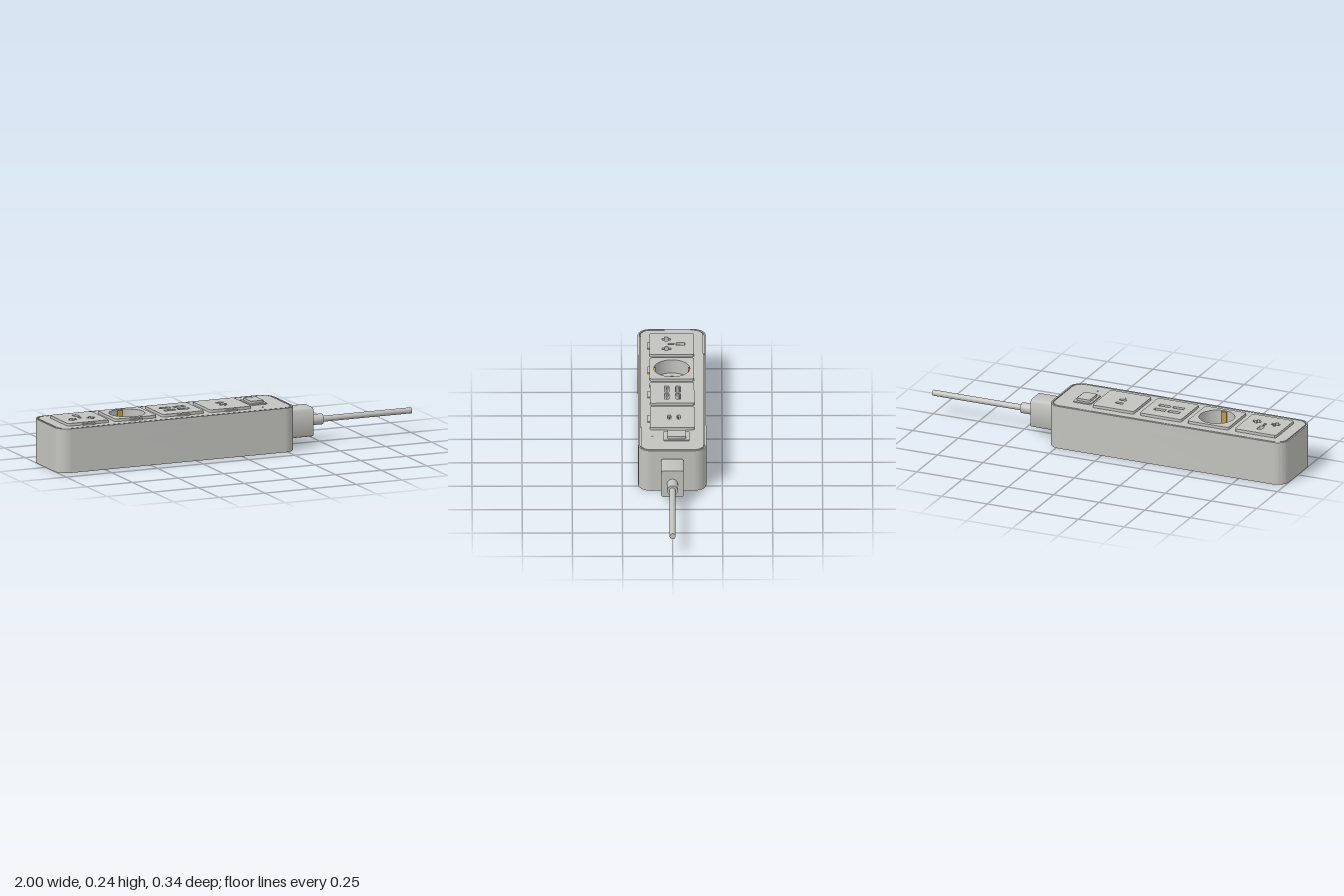
import * as THREE from 'three';
import { toCreasedNormals } from 'three/addons/utils/BufferGeometryUtils.js';

const grey = new THREE.MeshStandardMaterial({ color: 0xc2c2be });
grey.name = 'light grey plastic';
const dark = new THREE.MeshStandardMaterial({ color: 0x2b2b2b });
dark.name = 'dark rubber';
const brass = new THREE.MeshStandardMaterial({ color: 0xc09a4a });
brass.name = 'brass';

// Outlines are drawn in plan: x, z
function roundedRect(cx, cz, w, d, r) {
  const s = new THREE.Shape(), x = w / 2 - r, y = d / 2 - r, cy = -cz;
  s.absarc(cx + x, cy + y, r, 0, Math.PI / 2);
  s.absarc(cx - x, cy + y, r, Math.PI / 2, Math.PI);
  s.absarc(cx - x, cy - y, r, Math.PI, Math.PI * 1.5);
  s.absarc(cx + x, cy - y, r, Math.PI * 1.5, Math.PI * 2);
  s.closePath();
  return s;
}
function circle(cx, cz, r) {
  return new THREE.Shape().absarc(cx, -cz, r, 0, Math.PI * 2);
}
function cross(cx, cz, a, b) {
  const p = [[a, b], [b, b], [b, a], [-b, a], [-b, b], [-a, b], [-a, -b], [-b, -b], [-b, -a], [b, -a], [b, -b], [a, -b]];
  return new THREE.Shape(p.map(([x, y]) => new THREE.Vector2(cx + x, y - cz)));
}

export function createModel() {
  const model = new THREE.Group();
  model.name = 'powerStrip';

  function add(name, geometry, material = grey) {
    const mesh = new THREE.Mesh(geometry, material);
    mesh.name = name;
    model.add(mesh);
    return mesh;
  }
  // Vertical slab from y0 to y1 with holes
  function slab(name, shape, y0, y1, holes = [], material = grey) {
    shape.holes = holes;
    const g = new THREE.ExtrudeGeometry(shape, { depth: y1 - y0, bevelEnabled: false, curveSegments: 16 });
    g.rotateX(-Math.PI / 2).translate(0, y0, 0);
    return add(name, toCreasedNormals(g, 0.6), material);
  }
  function box(name, x, y, z, w, h, d, material = grey) {
    return add(name, new THREE.BoxGeometry(w, h, d), material).position.set(x, y, z);
  }
  const outline = (inset) => roundedRect(-0.35, 0, 1.3 - 2 * inset, 0.34 - 2 * inset, 0.065 - inset);

  // Openings of the four socket modules
  const xs = [-0.815, -0.555, -0.295, -0.035];
  const usbPorts = [-0.333, -0.257].flatMap((x) => [-0.03, 0.027].map((z) => [x, z]));
  const smallPorts = [-0.032, 0.014].map((z) => [-0.035, z]);
  const openings = [
    [roundedRect(-0.815, -0.043, 0.026, 0.044, 0.004), roundedRect(-0.815, 0.003, 0.013, 0.032, 0.006),
      cross(-0.866, 0.027, 0.022, 0.008), cross(-0.764, 0.027, 0.022, 0.008)],
    [circle(-0.555, 0, 0.09)],
    usbPorts.map(([x, z]) => roundedRect(x, z, 0.062, 0.023, 0.002)),
    smallPorts.map(([x, z]) => roundedRect(x, z, 0.042, 0.018, 0.0088)),
  ];
  const pinHoles = [-0.043, 0.043].map((dx) => circle(-0.555 + dx, 0, 0.014));
  const screwHoles = [-0.93, -0.35, 0.23].flatMap((x) => [-0.125, 0.125].map((z) => circle(x, z, 0.012)));

  // Body in layers, with a fine groove around the deck
  slab('bodyBase', outline(0), 0, 0.03, screwHoles);
  slab('bodyMiddle', outline(0), 0.03, 0.165, pinHoles);
  slab('bodyUpper', outline(0), 0.165, 0.219, openings.flat());
  slab('rim', outline(0), 0.219, 0.225, [outline(0.008)]);
  slab('deck', outline(0.013), 0.219, 0.225, openings.flat());

  // Raised socket plates with front latches
  xs.forEach((x, i) => {
    slab('socketPlate' + (i + 1), roundedRect(x, 0, 0.226, 0.222, 0.012), 0.225, 0.239, openings[i]);
    box('plateLatch' + (i + 1), x, 0.2285, 0.115, 0.065, 0.007, 0.014);
  });

  // Contacts in the round socket and tongues in the ports
  for (const side of [-1, 1]) box('earthClip', -0.555, 0.2, side * 0.085, 0.03, 0.07, 0.008, brass);
  for (const [x, z] of usbPorts) box('usbTongue', x, 0.2, z - 0.004, 0.05, 0.068, 0.008);
  for (const [x, z] of smallPorts) box('smallPortTongue', x, 0.2, z, 0.026, 0.066, 0.005);
  box('portMark', -0.03, 0.2394, 0.039, 0.016, 0.001, 0.003);

  // Switch and indicator
  slab('switchFrame', roundedRect(0.148, -0.021, 0.096, 0.128, 0.008), 0.225, 0.231);
  slab('switchRocker', roundedRect(0.147, -0.022, 0.07, 0.093, 0.004), 0.231, 0.243);
  slab('indicator', circle(0.144, 0.1, 0.004), 0.225, 0.227);

  // Plug, strain relief and cable along x
  const plugShape = () => roundedRect(0, 0, 0.147, 0.113, 0.013);
  const plug = slab('plug', plugShape(), 0, 0.128);
  plug.rotation.z = -Math.PI / 2;
  plug.position.set(0.313, 0.113, 0);
  box('plugCollar', 0.306, 0.113, 0, 0.016, 0.128, 0.096, dark);
  function rod(name, x0, x1, r) {
    const g = new THREE.CylinderGeometry(r, r, x1 - x0, 32).rotateZ(-Math.PI / 2);
    add(name, g).position.set((x0 + x1) / 2, 0.113, 0);
  }
  rod('strainRelief', 0.44, 0.512, 0.027);
  rod('cable', 0.51, 1, 0.015);

  return model;
}
